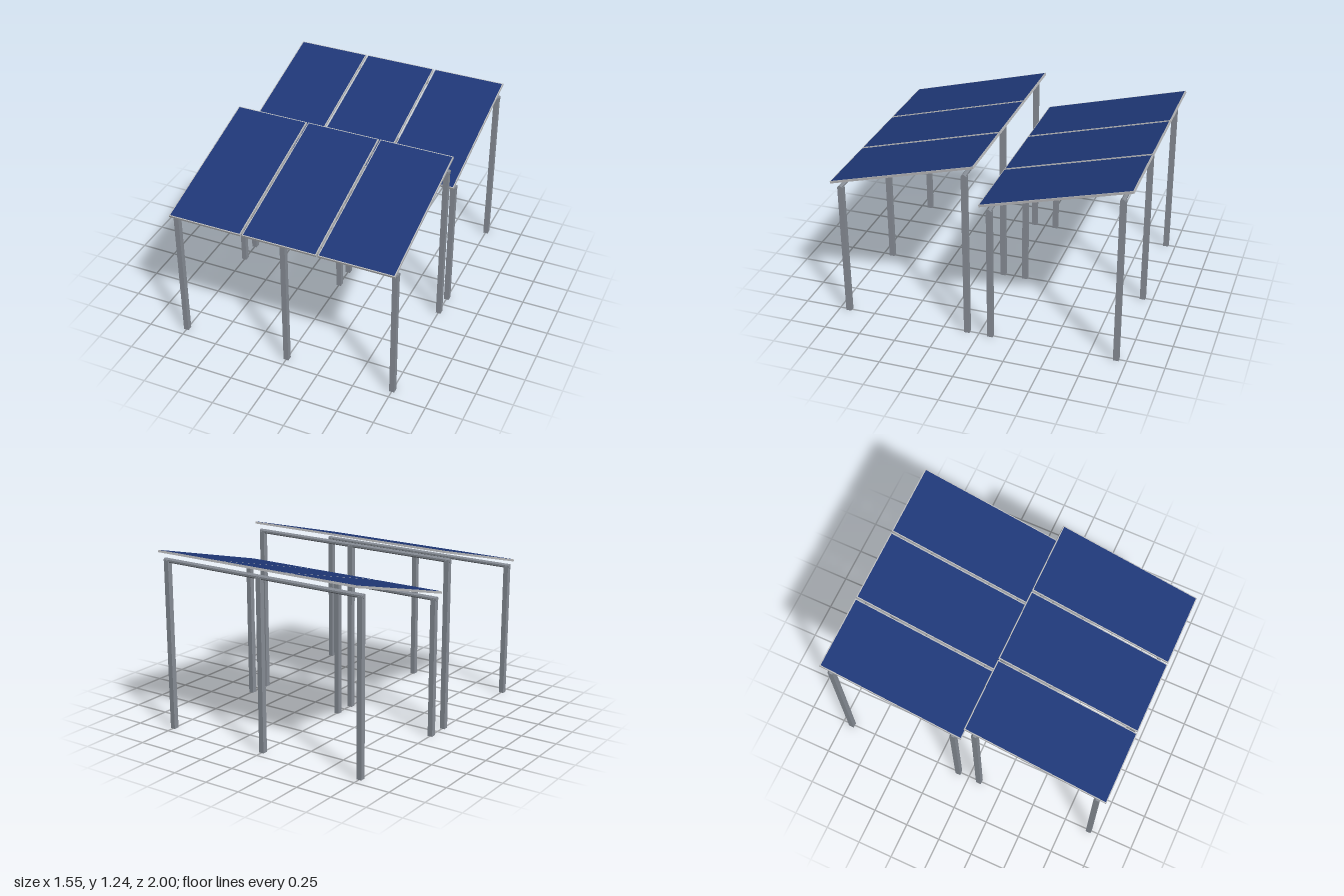
import * as THREE from 'three';

const TILT = THREE.MathUtils.degToRad(15);
const PANEL = { width: 0.506, length: 1.0175, thick: 0.015, pitch: 0.517, border: 0.007 };

export function createModel() {
  const steel = new THREE.MeshStandardMaterial({ color: 0x8a9099 });
  steel.name = 'galvanised steel';
  steel.flatShading = true;
  const aluminium = new THREE.MeshStandardMaterial({ color: 0xb9babc });
  aluminium.name = 'aluminium frame';
  const cells = new THREE.MeshStandardMaterial({ color: 0x1f3878 });
  cells.name = 'blue solar cells';

  const add = (parent, name, geometry, material, x, y, z) => {
    const mesh = new THREE.Mesh(geometry, material);
    mesh.name = name;
    mesh.position.set(x, y, z);
    parent.add(mesh);
    return mesh;
  };

  // Shared geometries
  const frameGeo = new THREE.BoxGeometry(PANEL.width, PANEL.thick, PANEL.length);
  const cellGeo = new THREE.BoxGeometry(PANEL.width - 2 * PANEL.border, 0.002, PANEL.length - 2 * PANEL.border);
  // Eight-sided rail lying along x, with a flat side facing up
  const railGeo = new THREE.CylinderGeometry(0.0152, 0.0152, 1.546, 8);
  railGeo.rotateY(Math.PI / 8).rotateZ(Math.PI / 2);

  const buildRow = (name, z) => {
    const row = new THREE.Group();
    row.name = name;
    row.position.z = z;

    // Tilted table of three panels, low edge to the front
    const table = new THREE.Group();
    table.name = 'panelTable';
    table.position.y = 1.104;
    table.rotation.x = TILT;
    row.add(table);
    for (const i of [-1, 0, 1]) {
      add(table, 'panelFrame', frameGeo, aluminium, i * PANEL.pitch, 0, 0);
      add(table, 'panelCells', cellGeo, cells, i * PANEL.pitch, PANEL.thick / 2, 0);
    }

    // Low front and high rear supports: a rail on three posts
    for (const [side, pz, railY] of [['front', 0.4255, 0.945], ['rear', -0.4255, 1.164]]) {
      add(row, side + 'Rail', railGeo, steel, 0, railY, pz);
      const postGeo = new THREE.BoxGeometry(0.035, railY, 0.037);
      for (const x of [-0.751, 0, 0.751]) add(row, side + 'Post', postGeo, steel, x, railY / 2, pz);
    }
    return row;
  };

  const model = new THREE.Group();
  model.name = 'solarPanelArray';
  model.add(buildRow('frontRow', 0.5065), buildRow('backRow', -0.5065));
  return model;
}
